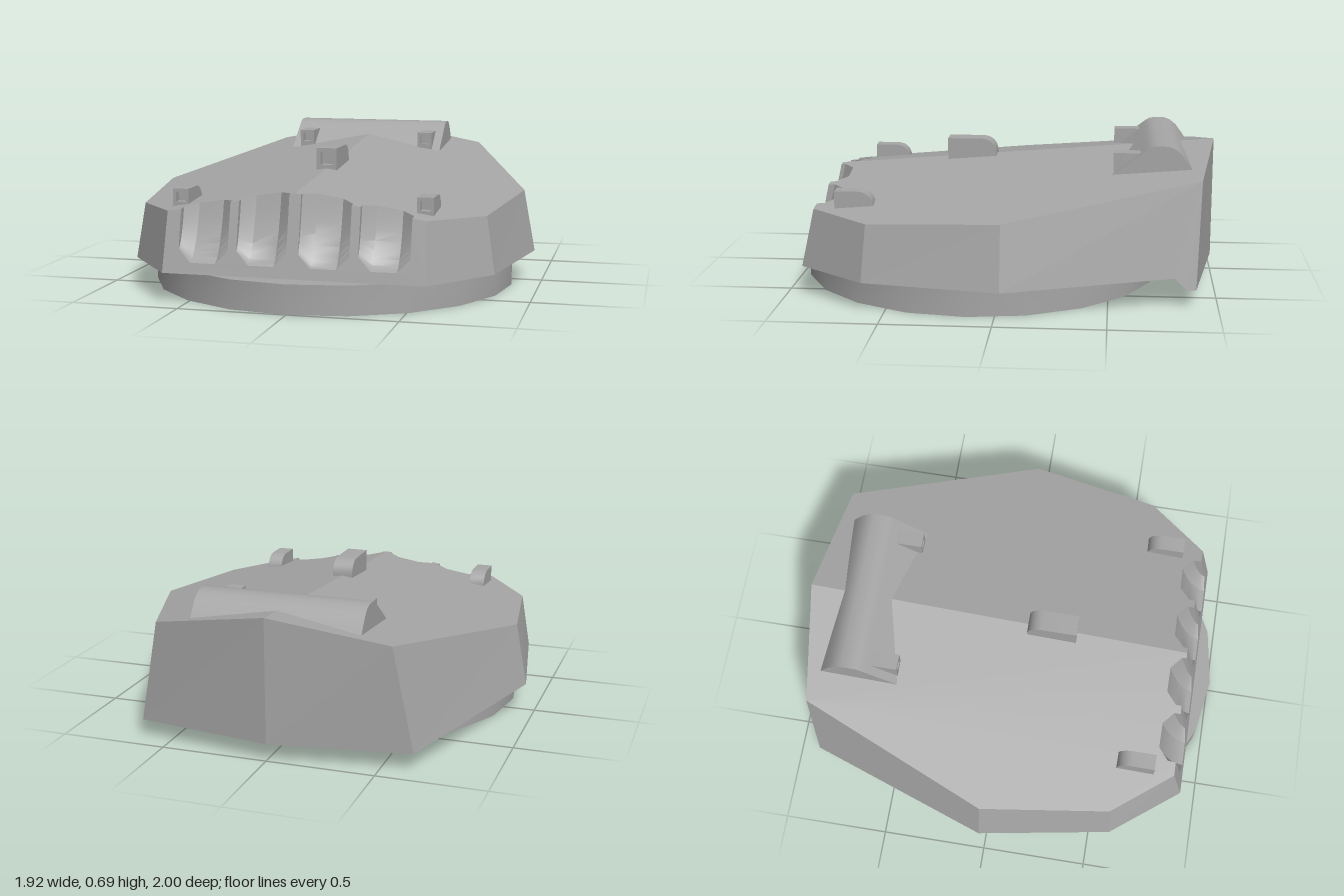
import * as THREE from 'three';
import { toCreasedNormals } from 'three/addons/utils/BufferGeometryUtils.js';

const armour = new THREE.MeshStandardMaterial({ color: 0xa6a6a6, side: THREE.DoubleSide });
armour.name = 'grey armour';

// Sloping planes of the gun house
const roofY = (x, z) => 0.578 - 0.0815 * z - 0.161 * Math.abs(x);
const frontZ = (y) => 0.92 - 0.218 * (y - 0.14);
const frontEdge = (x) => {
  const y = 0.5096 - 0.1639 * Math.abs(x);
  return [x, y, frontZ(y)];
};

// Gun ports: [x offset, z where the roof is cut, y where the front is cut]
const portCentres = [-0.412, -0.142, 0.142, 0.412];
const portHalf = 0.115;
const portProfile = [[-portHalf, 0.82, 0.25], [-0.058, 0.77, 0.19], [0.058, 0.77, 0.19], [portHalf, 0.82, 0.25]];

const mirror = (pts) => pts.map(([x, y, z]) => [-x, y, z]).reverse();

function fan(out, pts) {
  for (let i = 1; i < pts.length - 1; i++) out.push(...pts[0], ...pts[i], ...pts[i + 1]);
}

// Flat outline, triangulated and placed in space by a rule
function sheet(out, outline, place, flip) {
  const geo = new THREE.ShapeGeometry(new THREE.Shape(outline.map((p) => new THREE.Vector2(...p))));
  const pos = geo.attributes.position;
  const idx = geo.index.array;
  for (let i = 0; i < idx.length; i += 3) {
    const tri = [0, 1, 2].map((k) => place(pos.getX(idx[i + k]), pos.getY(idx[i + k])));
    fan(out, flip ? tri.reverse() : tri);
  }
}

function surface(name, positions, crease) {
  let geo = new THREE.BufferGeometry();
  geo.setAttribute('position', new THREE.Float32BufferAttribute(positions, 3));
  if (crease) geo = toCreasedNormals(geo, crease);
  else geo.computeVertexNormals();
  return named(name, geo);
}

function named(name, geo) {
  const mesh = new THREE.Mesh(geo, armour);
  mesh.name = name;
  return mesh;
}

// Side profile of [z, y] points, extruded across x
function prism(profile, width, crease) {
  const shape = new THREE.Shape(profile.map((p) => new THREE.Vector2(...p)));
  const geo = new THREE.ExtrudeGeometry(shape, { depth: width, bevelEnabled: false });
  geo.rotateY(-Math.PI / 2).translate(width / 2, 0, 0);
  return toCreasedNormals(geo, crease);
}

function roof() {
  const out = [];
  const outline = [[0, -1], [0, frontEdge(0)[2]]];
  for (const c of portCentres.filter((v) => v > 0)) {
    outline.push([c - portHalf, frontEdge(c - portHalf)[2]]);
    for (const [dx, z] of portProfile) outline.push([c + dx, z]);
    outline.push([c + portHalf, frontEdge(c + portHalf)[2]]);
  }
  outline.push([0.59, frontEdge(0.59)[2]], [0.81, 0.58], [0.905, -0.03], [0.55, -0.92]);
  for (const s of [1, -1]) sheet(out, outline, (x, z) => [s * x, roofY(x, z), z], s > 0);
  return surface('roof', out);
}

function frontPlate() {
  const out = [];
  const outline = [[0.6, 0.14], [-0.6, 0.14], frontEdge(-0.59).slice(0, 2)];
  for (const c of portCentres) {
    if (c === portCentres[2]) outline.push(frontEdge(0).slice(0, 2));
    outline.push(frontEdge(c - portHalf).slice(0, 2));
    for (const [dx, , y] of portProfile) outline.push([c + dx, y]);
    outline.push(frontEdge(c + portHalf).slice(0, 2));
  }
  outline.push(frontEdge(0.59).slice(0, 2));
  sheet(out, outline, (x, y) => [x, y, frontZ(y)], false);
  return surface('frontPlate', out);
}

function walls() {
  const out = [];
  const top = [[0.59, 0.86], [0.81, 0.58], [0.905, -0.03], [0.55, -0.92], [0, -1]].map(([x, z]) => [x, roofY(x, z), z]);
  top[0] = frontEdge(0.59);
  const low = [[0.6, 0.14, 0.92], [0.85, 0.14, 0.6], [0.96, 0.14, -0.03], [0.67, 0.14, -0.8], [0.66, 0.08, -0.86], [0.645, 0.08, -0.9], [0, 0.08, -1]];
  const faces = [
    [low[0], low[1], top[1], top[0]],
    [low[1], low[2], top[2], top[1]],
    [top[3], top[2], low[2], low[3], low[4], low[5]],
    [low[5], low[6], top[4], top[3]],
    // underside and the rear lip
    [[0, 0.14, -0.88], low[3], low[2], low[1], low[0], [0, 0.14, 0.92]],
    [low[3], [0, 0.14, -0.88], [0, 0.08, -0.95], low[4]],
    [low[4], [0, 0.08, -0.95], low[6], low[5]],
  ];
  for (const f of faces) {
    fan(out, f);
    fan(out, mirror(f));
  }
  return surface('sideAndRearWalls', out);
}

// Rounded recess open to the front and the roof
function gunPort(c) {
  const out = [];
  const steps = 8;
  const curves = portProfile.map(([dx, z, y]) => {
    const x = c + dx;
    const corner = frontEdge(x);
    const a = [x, roofY(x, z), z];
    const b = [x, y, frontZ(y)];
    return Array.from({ length: steps + 1 }, (_, i) => {
      const t = (i / steps) * Math.PI / 2;
      return corner.map((v, k) => v + (a[k] - v) * Math.cos(t) + (b[k] - v) * Math.sin(t));
    });
  });
  for (let j = 0; j < 3; j++) {
    for (let i = 0; i < steps; i++) {
      fan(out, [curves[j][i + 1], curves[j + 1][i + 1], curves[j + 1][i], curves[j][i]]);
    }
  }
  fan(out, [frontEdge(c - portHalf), ...[...curves[0]].reverse()]);
  fan(out, [frontEdge(c + portHalf), ...curves[3]]);
  return surface('gunPort', out, 0.6);
}

// Sighting hood with a square opening at the front and a rounded back
function sightHood(x, front, back, base, top, width) {
  const hood = new THREE.Group();
  hood.name = 'sightHood';
  const lip = 0.04;
  const w = width / 2;
  const hole = w * 0.6;
  const mid = top - w;
  const frame = new THREE.Shape([[-w, base], [w, base], [w, top], [-w, top]].map((p) => new THREE.Vector2(...p)));
  frame.holes.push(new THREE.Path([[-hole, mid - hole], [-hole, mid + hole], [hole, mid + hole], [hole, mid - hole]].map((p) => new THREE.Vector2(...p))));
  const frameGeo = new THREE.ExtrudeGeometry(frame, { depth: lip, bevelEnabled: false });
  hood.add(named('hoodFrame', frameGeo.translate(0, 0, front - lip)));

  const r = Math.min(0.07, top - base);
  const profile = [[front - lip, base], [front - lip, top]];
  for (let i = 0; i <= 6; i++) {
    const t = (i / 6) * Math.PI / 2;
    profile.push([back + r - r * Math.sin(t), top - r + r * Math.cos(t)]);
  }
  profile.push([back, base]);
  hood.add(named('hoodBody', prism(profile, width, 0.6)));
  hood.position.x = x;
  return hood;
}

export function createModel() {
  const model = new THREE.Group();
  model.name = 'gunTurret';

  // Round base ring
  const ring = named('baseRing', toCreasedNormals(new THREE.CylinderGeometry(0.87, 0.87, 0.135, 20), 0.5));
  ring.position.set(0, 0.0675, 0.13);
  model.add(ring);

  // Armoured gun house
  model.add(roof(), frontPlate(), walls());
  for (const c of portCentres) model.add(gunPort(c));

  // Rangefinder across the rear of the roof
  const finder = [[-0.51, 0.555], [-0.64, 0.65], [-0.67, 0.673], [-0.695, 0.688], [-0.72, 0.692], [-0.77, 0.692], [-0.8, 0.68], [-0.83, 0.655], [-0.86, 0.615], [-0.88, 0.585]];
  model.add(named('rangefinder', prism(finder, 0.8, 0.6)));

  // Sighting hoods
  model.add(sightHood(0, 0.3, 0.06, 0.54, 0.65, 0.1));
  for (const s of [1, -1]) {
    model.add(sightHood(s * 0.565, 0.76, 0.58, 0.41, 0.5, 0.075));
    model.add(sightHood(s * 0.32, -0.515, -0.72, 0.56, 0.65, 0.075));
  }
  return model;
}
